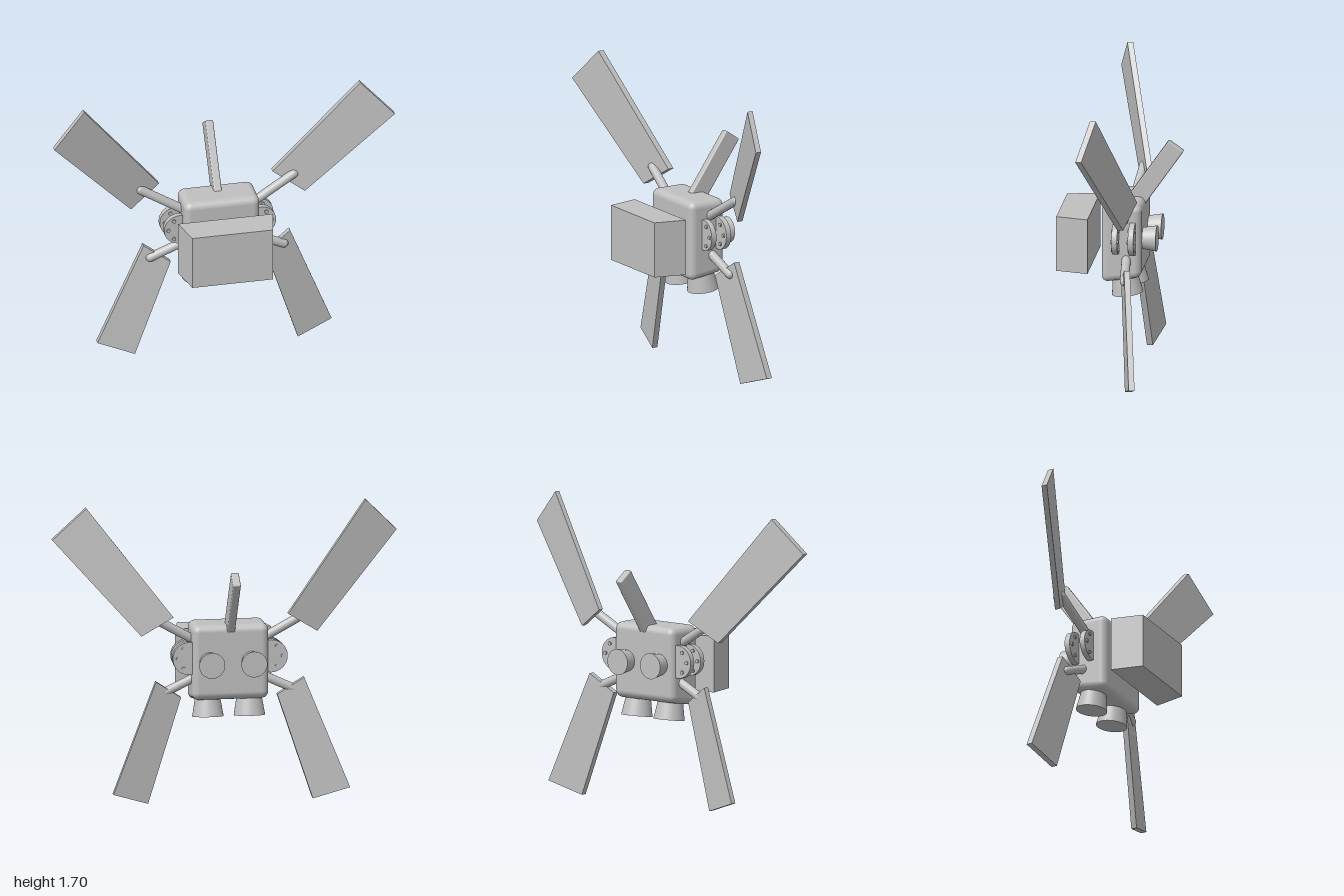
import * as THREE from 'three';
import { RoundedBoxGeometry } from 'three/addons/geometries/RoundedBoxGeometry.js';

const grey = new THREE.MeshStandardMaterial({ color: 0xc0c0c0 });
grey.name = 'grey';

export function createModel() {
  const model = new THREE.Group();
  model.name = 'thrusterPack';

  const add = (name, geometry, x = 0, y = 0, z = 0) => {
    const mesh = new THREE.Mesh(geometry, grey);
    mesh.name = name;
    mesh.position.set(x, y, z);
    model.add(mesh);
    return mesh;
  };

  // Move every vertex of a geometry by a rule
  const warp = (geometry, rule) => {
    const p = geometry.attributes.position;
    const v = new THREE.Vector3();
    for (let i = 0; i < p.count; i++) {
      rule(v.fromBufferAttribute(p, i));
      p.setXYZ(i, v.x, v.y, v.z);
    }
    geometry.computeVertexNormals();
    return geometry;
  };

  // Four-cornered plate lying on the plane z = a*x + b*y + c
  const panel = (name, side, corners, a, b, c, thickness = 0.034) => {
    const shape = new THREE.Shape(corners.map(([x, y]) => new THREE.Vector2(side * x, y)));
    const geometry = new THREE.ExtrudeGeometry(shape, { depth: thickness, bevelEnabled: false });
    add(name, warp(geometry, (v) => {
      v.z += a * side * v.x + b * v.y + c - thickness / 2;
    }));
  };

  // Round-ended strut between two points
  const strut = (name, from, to, radius) => {
    const p = new THREE.Vector3(...from);
    const q = new THREE.Vector3(...to);
    const dir = q.clone().sub(p);
    const mesh = add(name, new THREE.CapsuleGeometry(radius, dir.length(), 6, 16));
    mesh.position.copy(p).add(q).multiplyScalar(0.5);
    mesh.quaternion.setFromUnitVectors(new THREE.Vector3(0, 1, 0), dir.normalize());
  };

  // Main body, its underside rising towards the back
  const body = new RoundedBoxGeometry(0.44, 0.465, 0.23, 4, 0.04);
  const bodyNormals = body.attributes.normal.clone();
  warp(body, (v) => {
    if (v.y < -0.1) v.y += 0.035 * (0.115 - v.z) / 0.23;
  });
  body.setAttribute('normal', bodyNormals);
  add('body', body, 0, 0.8075, -0.018);

  // Floating front block, wider at the back
  add('frontBlock', warp(new THREE.BoxGeometry(0.47, 0.322, 0.185), (v) => {
    if (v.z < 0) v.x *= 0.277 / 0.235;
  }), 0, 0.805, 0.26);

  // Swept-back top fin
  const fin = add('topFin', new RoundedBoxGeometry(0.046, 0.46, 0.106, 2, 0.008), 0, 1.158, -0.177);
  fin.rotation.x = -0.605;

  for (const side of [1, -1]) {
    // Upper and lower panels
    panel('upperPanel', side, [[0.332, 1.096], [0.508, 0.979], [0.995, 1.519], [0.807, 1.711]],
      0.341, 0.021, -0.246);
    panel('lowerPanel', side, [[0.278, 0.615], [0.476, 0.011], [0.684, 0.08], [0.428, 0.717]],
      -0.239, 0, 0.022);

    // Panel arms
    strut('upperArm', [side * 0.18, 0.932, -0.03], [side * 0.45, 1.088, -0.06], 0.026);
    strut('lowerArm', [side * 0.18, 0.735, -0.045], [side * 0.39, 0.64, -0.06], 0.026);

    // Bolted side discs
    for (const [z, radius] of [[0.008, 0.09], [-0.087, 0.095]]) {
      const disc = add('sideDisc', new THREE.CylinderGeometry(radius, radius, 0.032, 32), side * 0.237, 0.848, z);
      disc.rotation.x = Math.PI / 2;
      for (const angle of [-1.05, 0, 1.05]) {
        const bolt = add('discBolt', new THREE.CylinderGeometry(0.011, 0.011, 0.048, 12),
          side * (0.237 + 0.066 * Math.cos(angle)), 0.848 + 0.066 * Math.sin(angle), z);
        bolt.rotation.x = Math.PI / 2;
      }
    }

    // Bottom and rear nozzles
    const bottom = add('bottomNozzle', new THREE.CylinderGeometry(0.068, 0.09, 0.13, 32), side * 0.12, 0.562, -0.035);
    bottom.rotation.x = 0.13;
    const rear = add('rearNozzle', new THREE.CylinderGeometry(0.055, 0.075, 0.12, 32), side * 0.122, 0.825, -0.153);
    rear.rotation.x = Math.PI / 2;
  }

  return model;
}
